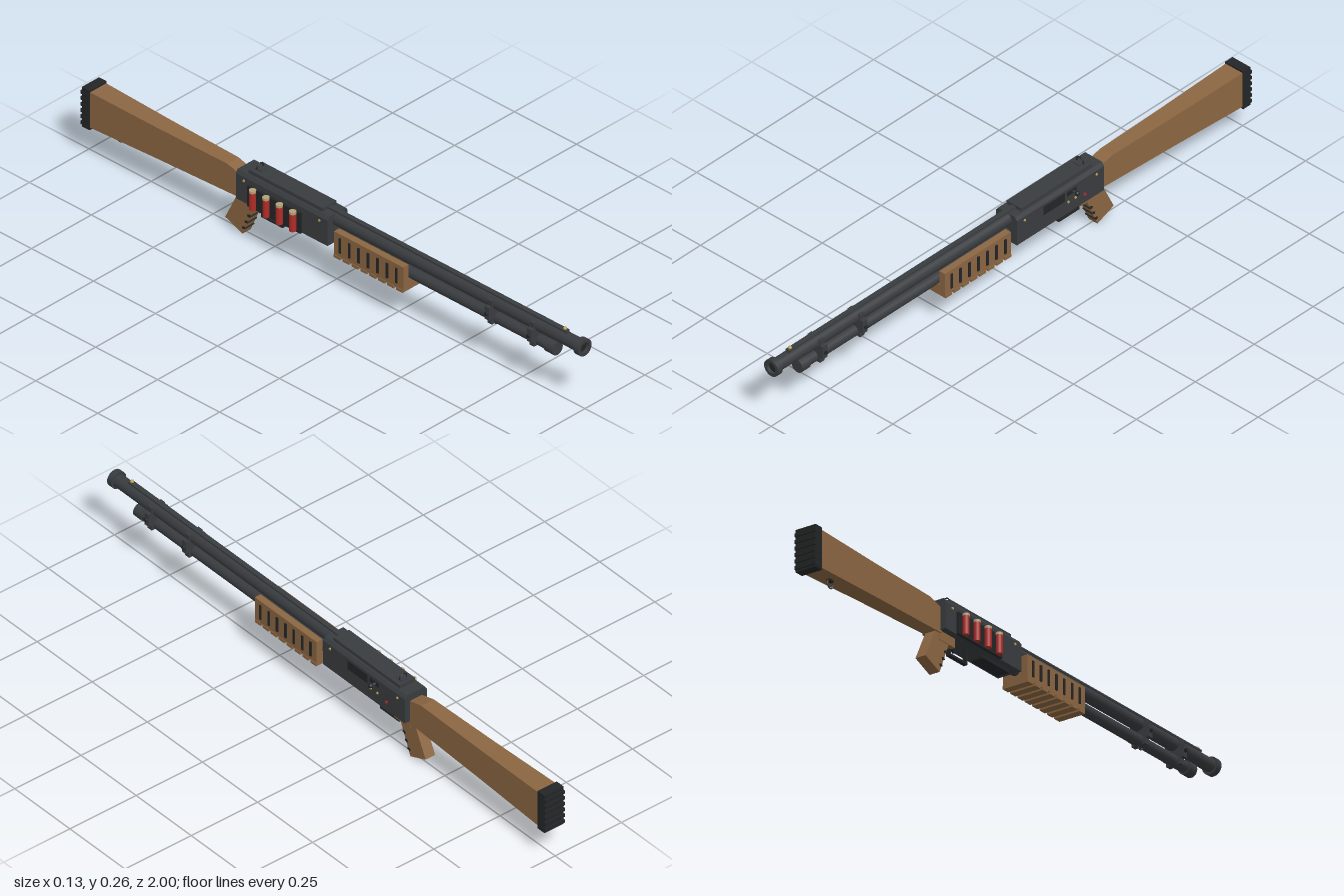
import * as THREE from 'three';

const mat = (color, flatShading = false) => {
  const m = new THREE.MeshStandardMaterial({ flatShading, side: THREE.DoubleSide });
  m.color.set(color);
  return m;
};
const STEEL = mat(0x393c3f), DARK = mat(0x232526), WOOD = mat(0x8b6642, true);
const BRASS = mat(0xb8a050), RED = mat(0xb02c28), TAN = mat(0xb3a078);

export function createModel() {
  const root = new THREE.Group();
  const add = (name, geo, m, x = 0, y = 0, z = 0) => {
    const mesh = new THREE.Mesh(geo, m);
    mesh.name = name;
    mesh.position.set(x, y, z);
    root.add(mesh);
    return mesh;
  };
  // box given by its extents
  const box = (name, m, x0, x1, y0, y1, z0, z1) => add(name,
    new THREE.BoxGeometry(x1 - x0, y1 - y0, z1 - z0), m, (x0 + x1) / 2, (y0 + y1) / 2, (z0 + z1) / 2);
  // cylinder along x, y or z
  const rod = (name, m, axis, r, len, x, y, z, seg = 20) => {
    const g = new THREE.CylinderGeometry(r, r, len, seg);
    if (axis === 'z') g.rotateX(Math.PI / 2);
    if (axis === 'x') g.rotateZ(Math.PI / 2);
    return add(name, g, m, x, y, z);
  };
  // side outline in (z, y), extruded across x
  const slab = (name, m, pts, halfW) => {
    const s = new THREE.Shape(pts.map(([z, y]) => new THREE.Vector2(-z, y)));
    const g = new THREE.ExtrudeGeometry(s, { depth: halfW * 2, bevelEnabled: false });
    g.translate(0, 0, -halfW).rotateY(Math.PI / 2);
    return add(name, g, m);
  };

  // barrel with open bore
  const bore = [[0.017, 0.9], [0.017, 1]], outer = [[0.028, 1], [0.028, 0.98], [0.021, 0.98], [0.021, -0.02]];
  const profile = [[0, 0.9], ...bore, ...outer].flatMap((p, i, a) =>
    i && i < a.length - 1 ? [p, p] : [p]).map(([r, h]) => new THREE.Vector2(r, h));
  add('barrel', new THREE.LatheGeometry(profile, 28).rotateX(Math.PI / 2), STEEL, 0, 0.212, 0);
  rod('boreInside', DARK, 'z', 0.0165, 0.002, 0, 0.212, 0.99);

  // sighting rib with posts, bead and rear ring
  box('sightRib', STEEL, -0.008, 0.008, 0.235, 0.241, -0.03, 0.93);
  for (let i = 0; i < 8; i++) box('ribPost', STEEL, -0.006, 0.006, 0.228, 0.237, 0.08 + i * 0.12, 0.092 + i * 0.12);
  add('frontBead', new THREE.SphereGeometry(0.006, 12, 8), BRASS, 0, 0.244, 0.92);
  add('rearRing', new THREE.TorusGeometry(0.013, 0.002, 8, 24), DARK, 0, 0.25, -0.31);
  box('rearSightBase', STEEL, -0.013, 0.013, 0.238, 0.248, -0.32, -0.295);

  // magazine tube and end cap
  rod('magazineTube', STEEL, 'z', 0.018, 0.88, 0, 0.16, 0.43, 24);
  rod('magazineCap', STEEL, 'z', 0.022, 0.035, 0, 0.16, 0.872, 24);

  // clamps joining barrel and tube
  for (const z of [0.64, 0.81]) {
    box('clampBody', STEEL, -0.025, 0.025, 0.146, 0.226, z - 0.009, z + 0.009);
    for (const s of [-1, 1]) {
      box('clampEar', STEEL, s * 0.031 - 0.006, s * 0.031 + 0.006, 0.165, 0.208, z - 0.009, z + 0.009);
      rod('clampScrew', DARK, 'x', 0.006, 0.008, s * 0.039, 0.186, z, 12);
    }
  }
  const loop = (name, y, z, r) => {
    const t = add(name, new THREE.TorusGeometry(r, 0.002, 8, 20), STEEL, 0, y, z);
    t.rotation.y = Math.PI / 2;
  };
  loop('frontSlingLoop', 0.144, 0.64, 0.009);
  loop('rearSlingLoop', 0.096, -0.875, 0.013);
  box('rearSlingMount', DARK, -0.006, 0.006, 0.104, 0.115, -0.885, -0.865);

  // pump forend: sides, floor, grooves and bottom ribs
  for (const s of [-1, 1]) {
    box('forendSide', WOOD, s * 0.033 - 0.011, s * 0.033 + 0.011, 0.12, 0.2, 0.03, 0.31);
    for (let i = 0; i < 7; i++) {
      const z = 0.055 + i * 0.038;
      box('forendGroove', DARK, s * 0.045 - 0.0025, s * 0.045 + 0.0025, 0.136, 0.187, z - 0.004, z + 0.004);
    }
  }
  box('forendFloor', WOOD, -0.04, 0.04, 0.12, 0.15, 0.03, 0.31);
  for (let i = 0; i < 8; i++) box('forendRib', WOOD, -0.046, 0.046, 0.112, 0.122, 0.03 + i * 0.036, 0.056 + i * 0.036);

  // receiver with chamfered upper edges
  const sec = new THREE.Shape([[-0.042, 0.135], [0.042, 0.135], [0.042, 0.222], [0.034, 0.233], [-0.034, 0.233], [-0.042, 0.222]]
    .map(p => new THREE.Vector2(...p)));
  add('receiver', new THREE.ExtrudeGeometry(sec, { depth: 0.37, bevelEnabled: false }), STEEL, 0, 0, -0.368);
  box('receiverTopPlate', STEEL, -0.029, 0.029, 0.23, 0.245, -0.33, -0.03);
  box('loadingGate', DARK, -0.022, 0.022, 0.123, 0.137, -0.16, -0.03);
  box('ejectionPort', DARK, 0.04, 0.0435, 0.184, 0.214, -0.2, -0.11);
  box('boltSlot', DARK, 0.04, 0.0435, 0.197, 0.212, -0.25, -0.21);
  rod('boltHandle', STEEL, 'x', 0.004, 0.022, 0.05, 0.204, -0.235, 12);
  add('boltKnob', new THREE.SphereGeometry(0.0075, 14, 10), DARK, 0.06, 0.204, -0.235);
  for (const s of [-1, 1]) for (const [z, y] of [[-0.03, 0.21], [-0.215, 0.175], [-0.245, 0.175], [-0.335, 0.21]])
    rod('receiverPin', BRASS, 'x', 0.004, 0.006, s * 0.042, y, z, 12);
  rod('safetyButton', RED, 'x', 0.005, 0.006, 0.042, 0.165, -0.285, 12);

  // side carrier with spare shells
  box('shellCarrier', DARK, -0.05, -0.041, 0.135, 0.205, -0.315, -0.1);
  for (let i = 0; i < 4; i++) {
    const z = -0.125 - i * 0.054;
    rod('shellBody', RED, 'y', 0.0105, 0.06, -0.056, 0.169, z);
    rod('shellBase', TAN, 'y', 0.011, 0.008, -0.056, 0.202, z);
  }

  // trigger and guard
  box('guardBottom', DARK, -0.007, 0.007, 0.084, 0.091, -0.3, -0.213);
  box('guardFront', DARK, -0.007, 0.007, 0.084, 0.137, -0.22, -0.213);
  box('guardRear', DARK, -0.007, 0.007, 0.084, 0.137, -0.3, -0.293);
  slab('trigger', DARK, [[-0.276, 0.137], [-0.284, 0.137], [-0.282, 0.115], [-0.274, 0.1], [-0.27, 0.102], [-0.276, 0.118]], 0.004);

  // pistol grip with front bands
  box('gripBase', WOOD, -0.02, 0.02, 0.105, 0.137, -0.368, -0.292);
  slab('pistolGrip', WOOD, [[-0.31, 0.13], [-0.385, 0.13], [-0.434, 0.03], [-0.365, 0.002]], 0.018);
  for (const y of [0.026, 0.051, 0.076]) {
    const b = box('gripBand', DARK, -0.0195, 0.0195, y - 0.004, y + 0.004, -0.006, 0.006);
    b.position.z = -0.365 + (y - 0.002) * 0.43 - 0.004;
    b.rotation.x = -0.38;
  }

  // stock shaped along its length: [z, bottom, top, half width]
  const stations = [[-0.36, 0.127, 0.206, 0.023], [-0.42, 0.125, 0.222, 0.024], [-0.7, 0.117, 0.224, 0.029], [-0.968, 0.107, 0.229, 0.034]];
  const g = new THREE.BoxGeometry(2, 1, 3, 1, 1, 3), p = g.attributes.position;
  for (let i = 0; i < p.count; i++) {
    const [z, lo, hi, w] = stations[Math.round(1.5 - p.getZ(i))];
    p.setXYZ(i, p.getX(i) * w, p.getY(i) > 0 ? hi : lo, z);
  }
  g.computeVertexNormals();
  add('stock', g, WOOD);

  // butt pad with ridges
  box('buttPad', DARK, -0.036, 0.036, 0.099, 0.235, -0.995, -0.964);
  for (let i = 0; i < 6; i++) box('padRidge', DARK, -0.037, 0.037, 0.106 + i * 0.021, 0.117 + i * 0.021, -1, -0.975);

  return root;
}
